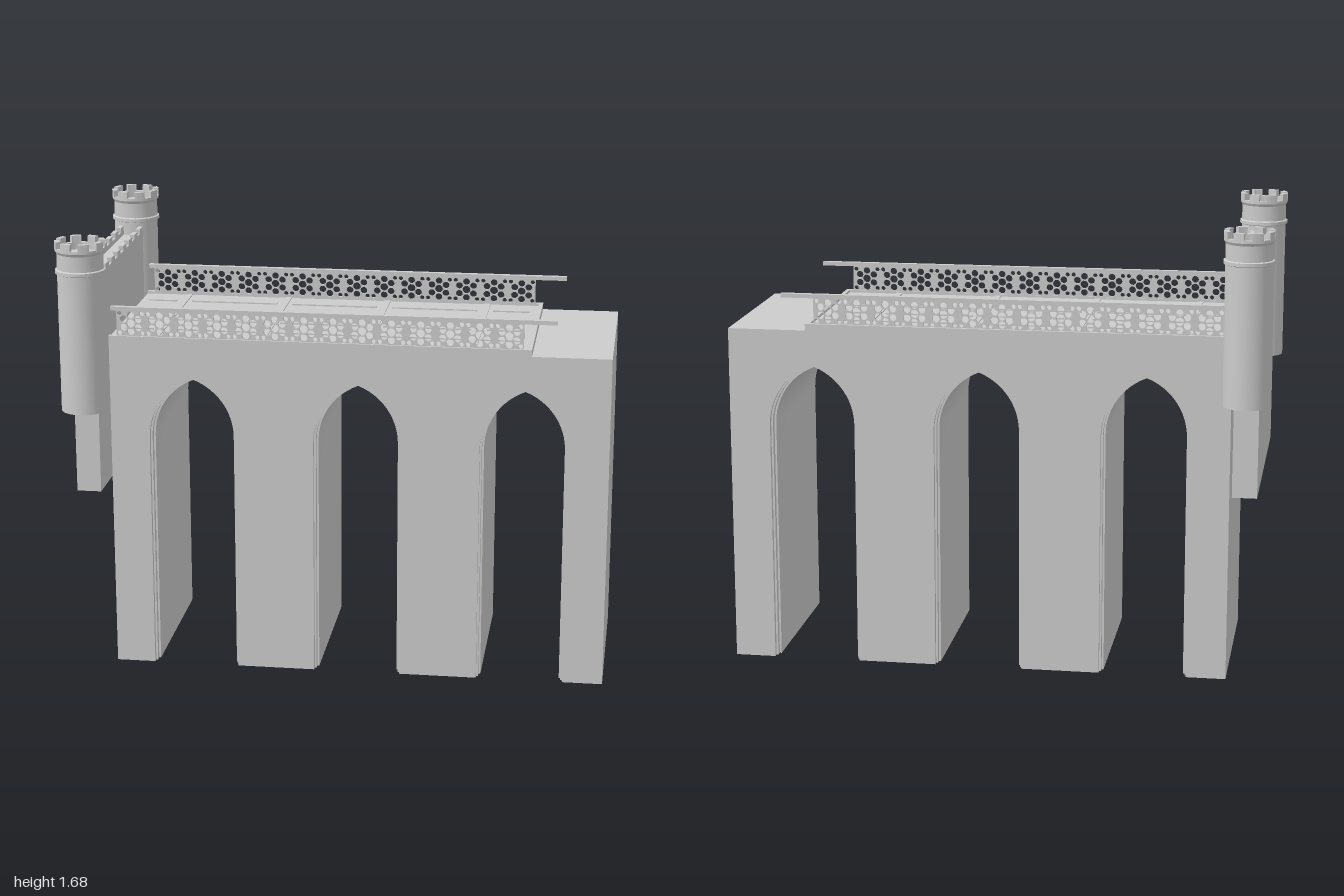
import * as THREE from 'three';
import { toCreasedNormals } from 'three/addons/utils/BufferGeometryUtils.js';

const material = new THREE.MeshStandardMaterial({ color: 0xcccccc });
const FRONT = 0.3, BACK = -0.405, MID_Z = (FRONT + BACK) / 2, DEPTH = FRONT - BACK;

function add(parent, name, geometry) {
  const mesh = new THREE.Mesh(geometry, material);
  mesh.name = name;
  parent.add(mesh);
  return mesh;
}

// Box given by its minimum and maximum corners
function box(parent, name, x0, x1, y0, y1, z0, z1) {
  const mesh = add(parent, name, new THREE.BoxGeometry(x1 - x0, y1 - y0, z1 - z0));
  mesh.position.set((x0 + x1) / 2, (y0 + y1) / 2, (z0 + z1) / 2);
  return mesh;
}

function extrude(shape, depth, curveSegments = 12) {
  const g = new THREE.ExtrudeGeometry(shape, { depth, bevelEnabled: false, curveSegments });
  return toCreasedNormals(g, 0.5);
}

// Pointed arch outline from the left foot to the right foot, inset by d
const HALF = 0.162, SPRING = 0.9, RADIUS = 0.245;
function archPoints(cx, d) {
  const r = RADIUS - d, offset = RADIUS - HALF, top = Math.acos(offset / r), n = 12;
  const points = [[cx - HALF + d, 0]];
  for (let i = 0; i <= n; i++) {
    const a = top * i / n;
    points.push([cx + offset - r * Math.cos(a), SPRING + r * Math.sin(a)]);
  }
  for (let i = n - 1; i >= 0; i--) {
    const a = top * i / n;
    points.push([cx - offset + r * Math.cos(a), SPRING + r * Math.sin(a)]);
  }
  points.push([cx + HALF - d, 0]);
  return points.map(([x, y]) => new THREE.Vector2(x, y));
}

const ARCHES = [-0.542, 0.073, 0.688];

function buildViaduct(group) {
  // Piers and spandrels in one outline, notched by the arches
  const outline = [new THREE.Vector2(-0.85, 0)];
  ARCHES.forEach(cx => outline.push(...archPoints(cx, 0)));
  outline.push(new THREE.Vector2(1, 0), new THREE.Vector2(1, 1.26), new THREE.Vector2(-0.85, 1.26));
  add(group, 'viaductBody', extrude(new THREE.Shape(outline), DEPTH)).position.z = BACK;

  // Two stepped linings set back from both faces of each arch
  ARCHES.forEach(cx => {
    [[0, 0.007, 0.018], [0.007, 0.014, 0.04]].forEach(([outer, inner, setback]) => {
      const band = new THREE.Shape([...archPoints(cx, outer), ...archPoints(cx, inner).reverse()]);
      add(group, 'archLining', extrude(band, DEPTH - 2 * setback)).position.z = BACK + setback;
    });
  });
}

function buildDeck(group) {
  box(group, 'deck', -0.85, 0.71, 1.26, 1.276, BACK, FRONT);
  box(group, 'deckEndCurb', 0.695, 0.71, 1.27, 1.285, BACK, FRONT);
  box(group, 'frontCurb', -0.85, 0.71, 1.268, 1.285, FRONT - 0.017, FRONT + 0.002);
  box(group, 'backCurb', -0.85, 0.71, 1.268, 1.285, BACK - 0.002, BACK + 0.017);
  // Raised joints between paving slabs
  const crossings = [-0.68, -0.285, 0.105, 0.495];
  crossings.forEach(x => box(group, 'crossJoint', x - 0.012, x + 0.012, 1.27, 1.28, BACK + 0.02, FRONT - 0.02));
  const ends = [-0.85, ...crossings, 0.695];
  [-0.28, -0.13, 0.01, 0.155].forEach(z => {
    for (let i = 0; i < ends.length - 1; i++) {
      box(group, 'longJoint', ends[i] + 0.03, ends[i + 1] - 0.03, 1.27, 1.281, z - 0.006, z + 0.006);
    }
  });
}

// One pierced panel: a round opening, six petals and four corner openings
function panelGeometry(w, h, thickness) {
  const shape = new THREE.Shape();
  shape.moveTo(-w / 2, -h / 2).lineTo(w / 2, -h / 2).lineTo(w / 2, h / 2).lineTo(-w / 2, h / 2).closePath();
  const hole = (x, y, r) => {
    const path = new THREE.Path();
    path.absarc(x, y, r, 0, Math.PI * 2, true);
    shape.holes.push(path);
  };
  hole(0, 0, 0.0155);
  for (let i = 0; i < 6; i++) {
    const a = i * Math.PI / 3 + Math.PI / 6;
    hole(0.0315 * Math.cos(a), 0.0315 * Math.sin(a), 0.0135);
  }
  for (const sx of [-1, 1]) for (const sy of [-1, 1]) hole(sx * 0.042, sy * 0.037, 0.0085);
  return extrude(shape, thickness, 5);
}

function buildRailing(name, z, railZ) {
  const railing = new THREE.Group();
  railing.name = name;
  const count = 14, x0 = -0.82, w = 1.5 / count, t = 0.008;
  const geometry = panelGeometry(w, 0.1, t);
  for (let i = 0; i < count; i++) {
    add(railing, 'piercedPanel', geometry).position.set(x0 + (i + 0.5) * w, 1.332, z - t / 2);
  }
  box(railing, 'handrail', -0.84, 0.8, 1.38, 1.395, railZ - 0.01, railZ + 0.01);
  return railing;
}

function buildGateWall(group) {
  const x0 = -0.955, x1 = -0.865;
  box(group, 'gateWall', x0, x1, 0.72, 1.51, -0.505, 0.425);
  [[x0 - 0.003, x0 + 0.015], [x1 - 0.015, x1 + 0.003]].forEach(([a, b], side) => {
    box(group, 'wallParapet', a, b, 1.508, 1.528, -0.4, 0.4);
    for (let i = 0; i < 8; i++) {
      const z = 0.32 - i * 0.098 + side * 0.012;
      box(group, 'wallMerlon', a, b, 1.528, 1.546, z - 0.026, z + 0.026);
    }
  });
}

function buildTower(name, z) {
  const tower = new THREE.Group();
  tower.name = name;
  tower.position.set(-0.906, 0, z);
  // Shaft, collar and hollow flared head
  const profile = [
    [0, 1.05], [0.084, 1.05], [0.084, 1.56], [0.091, 1.563], [0.091, 1.575], [0.084, 1.578],
    [0.084, 1.635], [0.09, 1.645], [0.09, 1.655], [0.073, 1.655], [0.073, 1.63], [0, 1.63],
  ].map(([r, y]) => new THREE.Vector2(r, y));
  add(tower, 'towerShaft', toCreasedNormals(new THREE.LatheGeometry(profile, 32), 0.5));

  const count = 8, span = Math.PI * 2 / count * 0.58;
  const merlon = new THREE.Shape();
  merlon.absarc(0, 0, 0.091, -span / 2, span / 2, false);
  merlon.absarc(0, 0, 0.073, span / 2, -span / 2, true);
  const geometry = extrude(merlon, 0.03, 4).rotateX(-Math.PI / 2);
  for (let i = 0; i < count; i++) {
    const m = add(tower, 'towerMerlon', geometry);
    m.position.y = 1.65;
    m.rotation.y = (i + 0.5) * Math.PI * 2 / count;
  }
  return tower;
}

export function createModel() {
  const model = new THREE.Group();
  model.name = 'archedBridge';
  buildViaduct(model);
  buildDeck(model);
  model.add(buildRailing('frontRailing', FRONT - 0.01, FRONT - 0.009));
  model.add(buildRailing('backRailing', BACK + 0.014, BACK + 0.012));
  buildGateWall(model);
  model.add(buildTower('frontTower', 0.466), buildTower('backTower', -0.466));
  return model;
}
